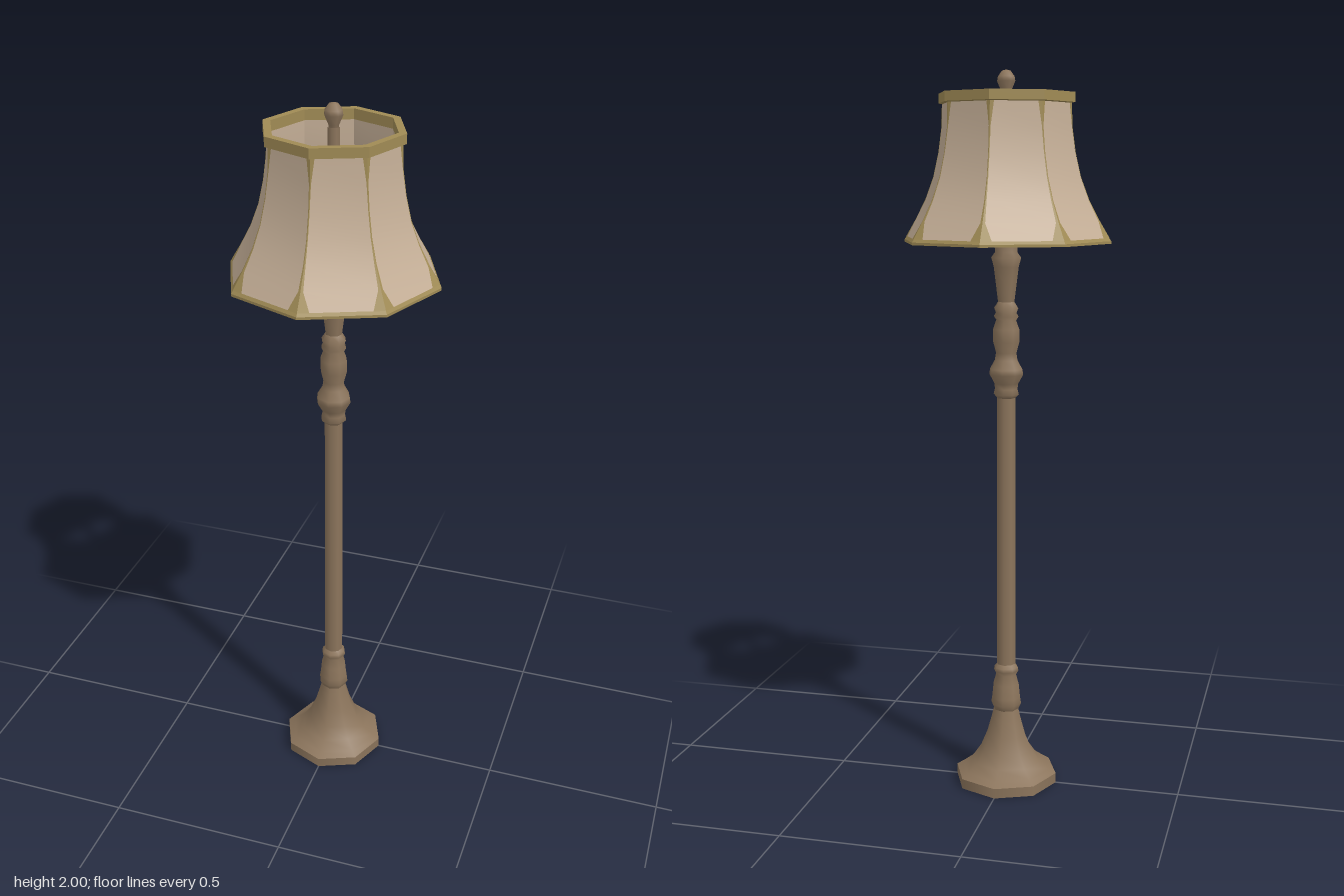
import * as THREE from 'three';
import { toCreasedNormals } from 'three/addons/utils/BufferGeometryUtils.js';

const SIDES = 8;

export function createModel() {
  const lamp = new THREE.Group();
  lamp.name = 'floorLamp';

  const mat = (name, color, extra = {}) => {
    const m = new THREE.MeshStandardMaterial({ color, ...extra });
    m.name = name;
    return m;
  };
  const wood = mat('wood', 0x8c755c);
  const fabric = mat('fabric', 0xc6b098);
  const trim = mat('goldTrim', 0xa08b55, { side: THREE.DoubleSide });

  // Eight-sided turned part; crease > 0 keeps the panel edges sharp
  const turned = (name, profile, material, crease = 0, parent = lamp) => {
    let geo = new THREE.LatheGeometry(profile.map(([r, y]) => new THREE.Vector2(r, y)), SIDES);
    if (crease) geo = toCreasedNormals(geo, crease);
    const mesh = new THREE.Mesh(geo, material);
    mesh.name = name;
    parent.add(mesh);
    return mesh;
  };

  // Flared foot
  turned('footUnderside', [[0, 0], [0.147, 0]], wood);
  turned('footRim', [[0.147, 0], [0.147, 0.028]], wood);
  turned('foot', [
    [0.147, 0.028], [0.128, 0.04], [0.098, 0.062], [0.075, 0.095],
    [0.056, 0.14], [0.042, 0.19], [0.036, 0.215],
  ], wood);

  // Turned column with collars and knops
  turned('lowerCollar', [
    [0.036, 0.215], [0.044, 0.232], [0.041, 0.25], [0.037, 0.29], [0.029, 0.318],
    [0.036, 0.33], [0.034, 0.34], [0.025, 0.35],
  ], wood);
  turned('shaft', [[0.027, 0.35], [0.026, 1.12]], wood);
  turned('middleKnop', [
    [0.026, 1.12], [0.036, 1.13], [0.032, 1.145], [0.034, 1.16], [0.048, 1.185],
    [0.046, 1.2], [0.032, 1.225], [0.029, 1.245], [0.037, 1.275], [0.037, 1.31],
    [0.028, 1.335], [0.035, 1.345], [0.029, 1.355], [0.034, 1.368], [0.023, 1.385],
  ], wood);
  turned('upperKnop', [
    [0.023, 1.385], [0.03, 1.44], [0.035, 1.48], [0.042, 1.505], [0.031, 1.52],
    [0.034, 1.55], [0.03, 1.6], [0.018, 1.63],
  ], wood);
  turned('shadeRod', [[0.018, 1.63], [0.016, 1.94]], wood);
  turned('finial', [
    [0.012, 1.93], [0.014, 1.945], [0.025, 1.97], [0.023, 1.982], [0.012, 1.997], [0, 2],
  ], wood);

  // Bell shade: outer cloth, inner cloth and gold bands
  const shade = new THREE.Group();
  shade.name = 'shade';
  lamp.add(shade);
  const bell = [
    [0.282, 1.56], [0.255, 1.605], [0.226, 1.66], [0.203, 1.72],
    [0.188, 1.785], [0.179, 1.85], [0.177, 1.912],
  ];
  turned('outerCloth', bell, fabric, 0.5, shade);
  const inner = bell.map(([r, y]) => [r - 0.011, y]).reverse();
  turned('innerCloth', inner, fabric, 0.5, shade);
  turned('topBand', [
    [0.177, 1.912], [0.187, 1.914], [0.187, 1.94], [0.166, 1.94], [0.166, 1.912],
  ], trim, 0.5, shade);
  turned('bottomBand', [
    [0.271, 1.56], [0.272, 1.545], [0.288, 1.545], [0.288, 1.552], [0.282, 1.56],
  ], trim, 0.5, shade);

  // Gold piping along each seam, widening into the corners
  const widths = [0.14, 0.035, 0.02, 0.014, 0.014, 0.02, 0.08];
  const corner = (k, [r, y]) => {
    const a = (k * 2 * Math.PI) / SIDES;
    return new THREE.Vector3((r + 0.0012) * Math.sin(a), y, (r + 0.0012) * Math.cos(a));
  };
  const pos = [], index = [];
  for (let k = 0; k < SIDES; k++) {
    for (const side of [-1, 1]) {
      const start = pos.length / 3;
      bell.forEach((p, i) => {
        const seam = corner(k, p);
        const edge = seam.clone().lerp(corner(k + side, p), widths[i]);
        pos.push(...seam.toArray(), ...edge.toArray());
        if (i === 0) return;
        const a = start + 2 * (i - 1), b = a + 1, c = a + 2, d = a + 3;
        if (side > 0) index.push(a, b, d, a, d, c);
        else index.push(b, a, c, b, c, d);
      });
    }
  }
  const piping = new THREE.BufferGeometry();
  piping.setAttribute('position', new THREE.Float32BufferAttribute(pos, 3));
  piping.setIndex(index);
  piping.computeVertexNormals();
  const seams = new THREE.Mesh(piping, trim);
  seams.name = 'seamPiping';
  shade.add(seams);

  return lamp;
}
